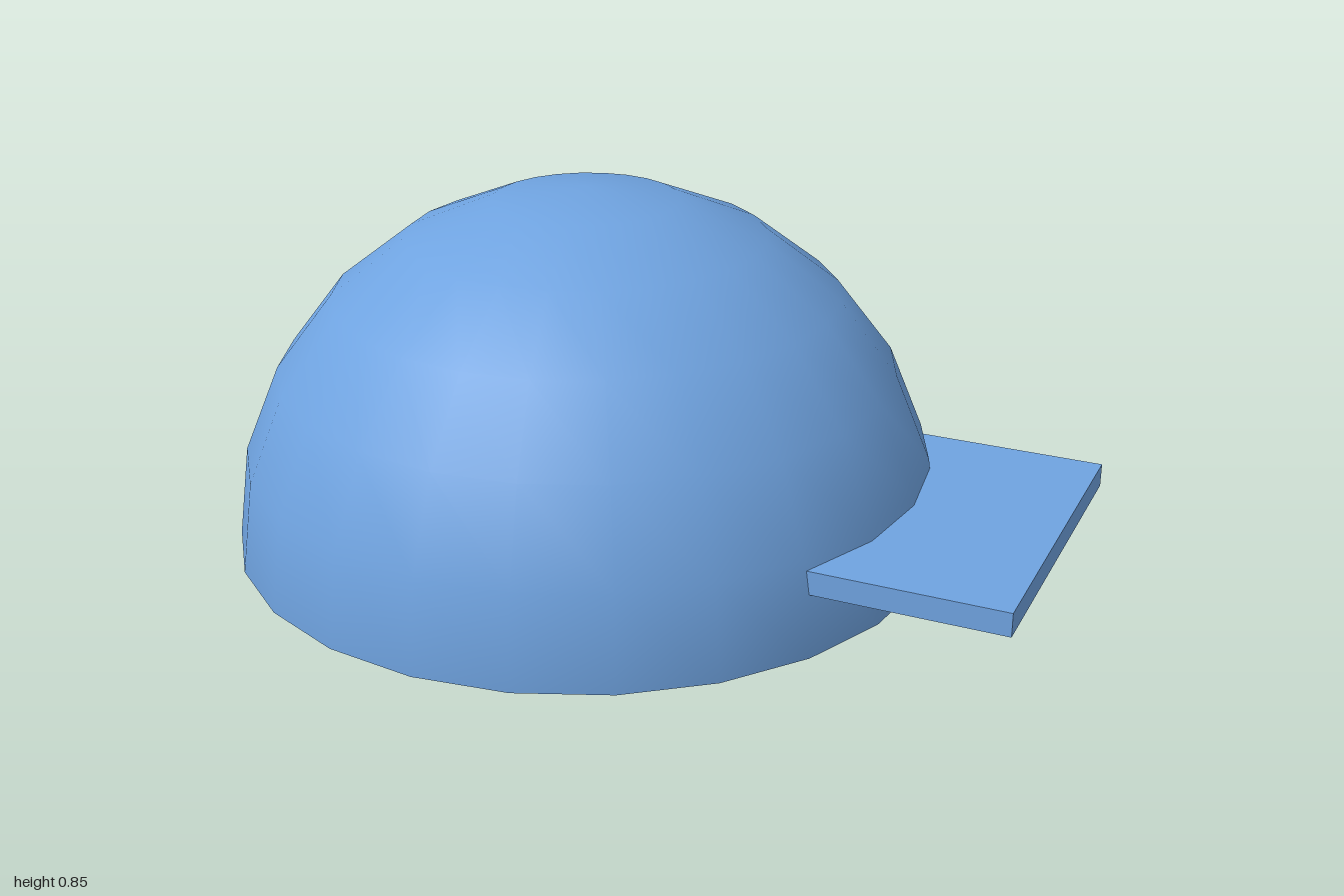
import * as THREE from 'three';

const RADIUS = 0.845;
const DOME_X = -0.155;

export function createModel() {
  const group = new THREE.Group();
  const material = new THREE.MeshStandardMaterial({ color: 0x6fa3e0 });
  const shellMaterial = material.clone();
  shellMaterial.side = THREE.DoubleSide;

  // Hollow half-sphere, open underneath
  const dome = new THREE.Mesh(
    new THREE.SphereGeometry(RADIUS, 24, 6, 0, Math.PI * 2, 0, Math.PI / 2),
    shellMaterial
  );
  dome.name = 'dome';
  dome.position.x = DOME_X;
  group.add(dome);

  // Square flat plate that passes through the dome wall
  const size = 0.81;
  const plate = new THREE.Mesh(new THREE.BoxGeometry(size, 0.055, size), material);
  plate.name = 'brim';
  plate.position.set(1 - size / 2, 0.168, 0);
  group.add(plate);

  return group;
}
